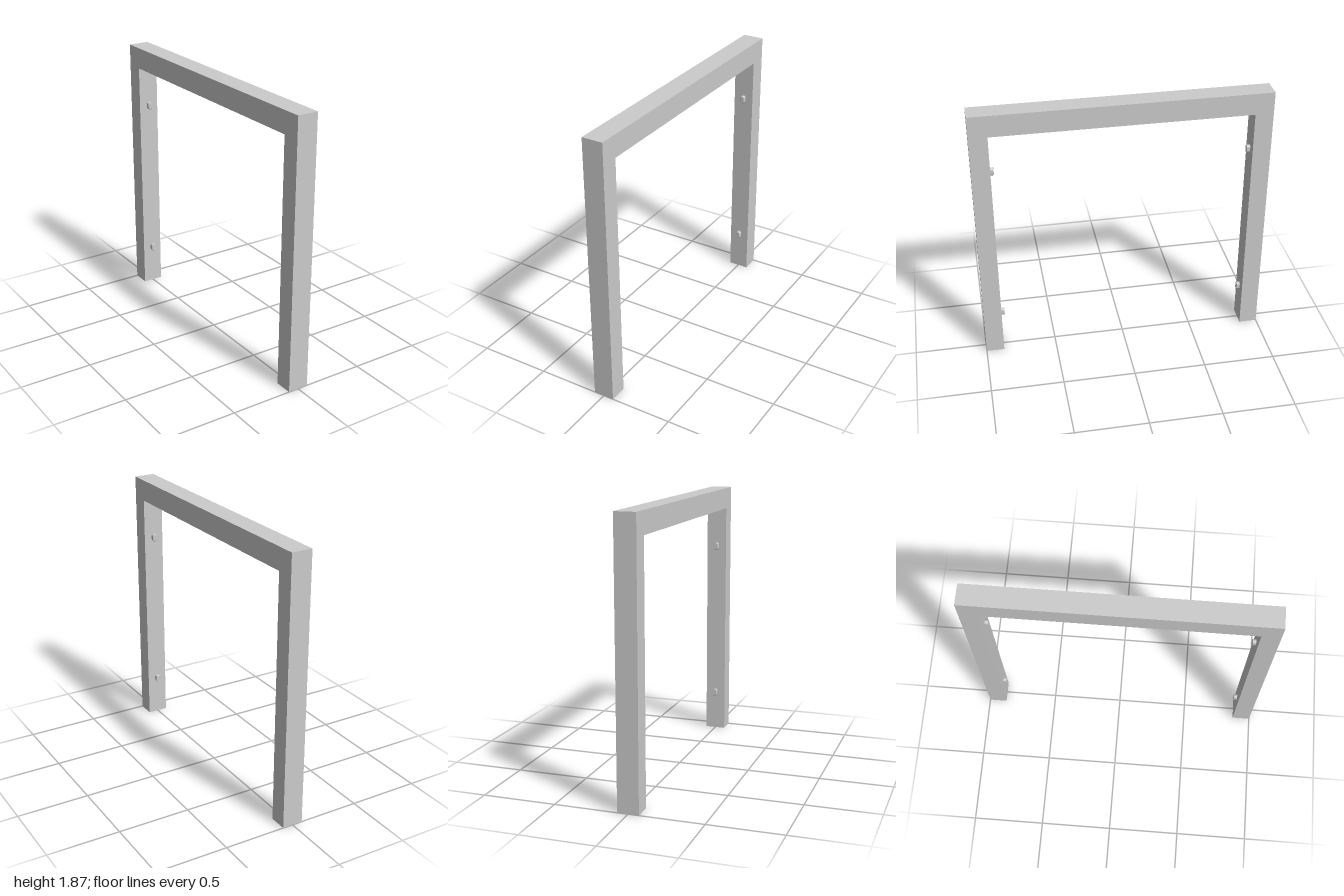
import * as THREE from 'three';

export function createModel() {
  const group = new THREE.Group();
  const material = new THREE.MeshStandardMaterial({ color: 0xcccccc });
  const height = 1.87, beamBottom = 1.72, legInner = 0.875, width = 0.145;

  // Portal frame: one U-shaped outline extruded across the width
  const outline = new THREE.Shape([
    [-1, 0], [-legInner, 0], [-legInner, beamBottom], [legInner, beamBottom],
    [legInner, 0], [1, 0], [1, height], [-1, height],
  ].map(([z, y]) => new THREE.Vector2(z, y)));
  const frameGeometry = new THREE.ExtrudeGeometry(outline, { depth: width, bevelEnabled: false });
  frameGeometry.translate(0, 0, -width / 2).rotateY(-Math.PI / 2);
  const frame = new THREE.Mesh(frameGeometry, material);
  frame.name = 'portalFrame';
  group.add(frame);

  // Locating pegs: upright slot-shaped studs with a small edge chamfer
  const bevel = 0.003, radius = 0.016 - bevel, half = 0.0115, depth = 0.025;
  const slot = new THREE.Shape();
  slot.absarc(0, half, radius, 0, Math.PI, false);
  slot.absarc(0, -half, radius, Math.PI, 2 * Math.PI, false);
  slot.closePath();
  const pegGeometry = new THREE.ExtrudeGeometry(slot, {
    depth: depth, bevelThickness: bevel, bevelSize: bevel, bevelSegments: 1, curveSegments: 12,
  });
  pegGeometry.translate(0, 0, -bevel); // outer end at z = depth, root sunk into the leg

  for (const side of [1, -1]) {
    for (const [level, y] of [['lower', 0.2875], ['upper', 1.4325]]) {
      const peg = new THREE.Mesh(pegGeometry, material);
      peg.name = `${level}${side > 0 ? 'Front' : 'Back'}Peg`;
      peg.position.set(0, y, side * legInner);
      if (side > 0) peg.rotation.y = Math.PI;
      group.add(peg);
    }
  }
  return group;
}
